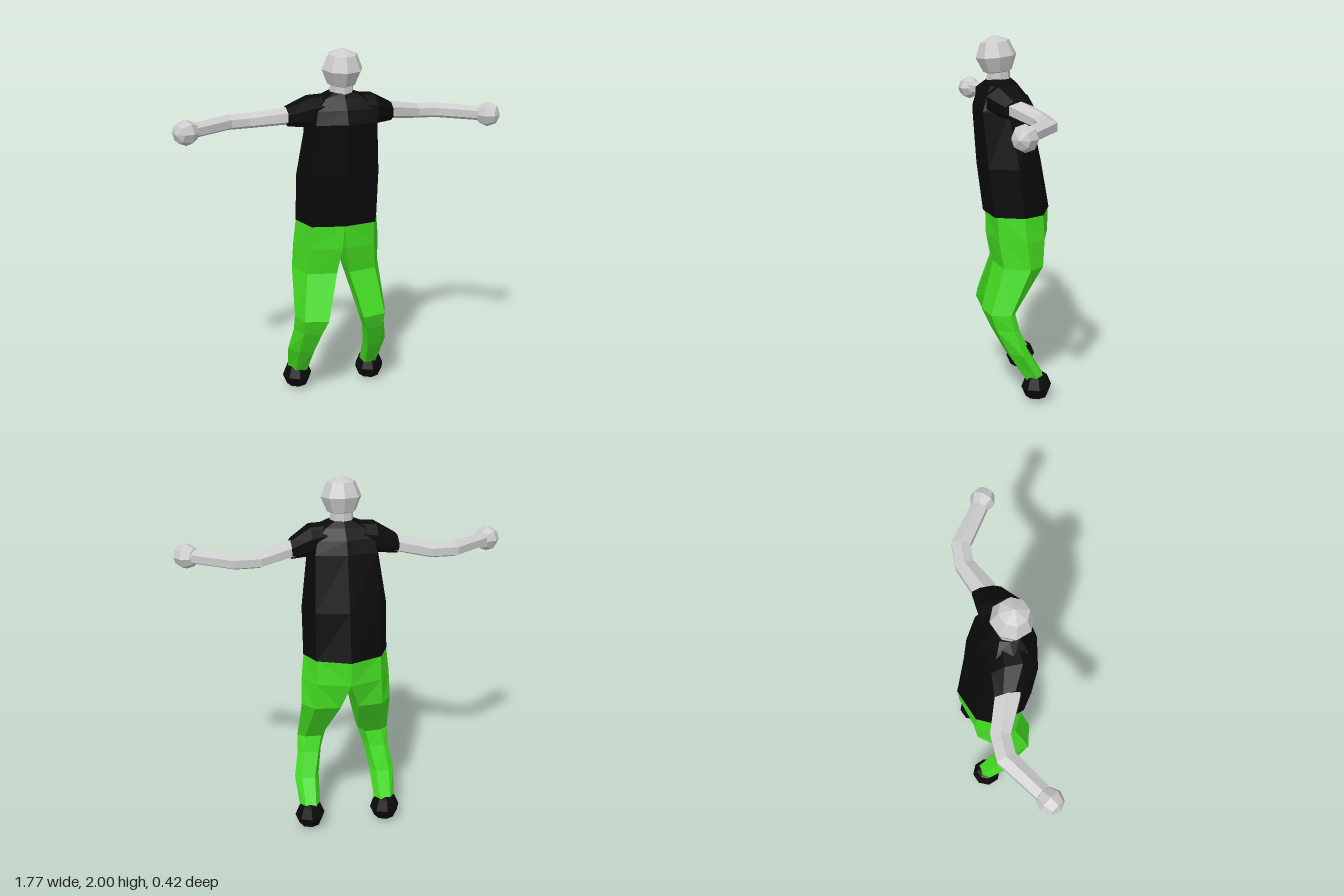
import * as THREE from 'three';

const paint = (color) => new THREE.MeshStandardMaterial({ color, flatShading: true });
const skin = paint(0xcccccc);
const black = paint(0x0a0a0a);
const green = paint(0x44dd22);

// Skins a list of equal-length rings of [x, y, z] into a closed faceted solid
function loft(rings) {
  const tris = [];
  const n = rings[0].length;
  for (let i = 0; i < rings.length - 1; i++) {
    for (let j = 0; j < n; j++) {
      const k = (j + 1) % n;
      const [a, b, c, d] = [rings[i][j], rings[i][k], rings[i + 1][k], rings[i + 1][j]];
      tris.push([a, b, c], [a, c, d]);
    }
  }
  const last = rings[rings.length - 1];
  for (let j = 1; j < n - 1; j++) {
    tris.push([rings[0][0], rings[0][j + 1], rings[0][j]], [last[0], last[j], last[j + 1]]);
  }
  // A negative enclosed volume means the faces point inward
  const vec = (p) => new THREE.Vector3(...p);
  const volume = tris.reduce((sum, [a, b, c]) => sum + vec(a).dot(vec(b).cross(vec(c))), 0);
  if (volume < 0) tris.forEach((t) => t.reverse());
  const geo = new THREE.BufferGeometry();
  geo.setAttribute('position', new THREE.Float32BufferAttribute(tris.flat(2), 3));
  geo.computeVertexNormals();
  return geo;
}

// Upright oval ring around a limb that runs sideways; yaw turns it toward the front
function limbRing(s, [x, y, z, ry, rw, yaw], sides, offset) {
  return Array.from({ length: sides }, (_, i) => {
    const a = ((i + offset) / sides) * Math.PI * 2;
    const w = Math.sin(a) * rw;
    return [s * (x - w * Math.sin(yaw)), y + Math.cos(a) * ry, z + w * Math.cos(yaw)];
  });
}

export function createModel() {
  const model = new THREE.Group();
  const add = (name, geo, material, x = 0, y = 0, z = 0) => {
    const mesh = new THREE.Mesh(geo, material);
    mesh.name = name;
    mesh.position.set(x, y, z);
    model.add(mesh);
    return mesh;
  };

  // Head and neck
  const head = add('head', new THREE.SphereGeometry(0.109, 8, 4), skin, 0, 1.891, 0.08);
  head.rotation.x = 0.1;
  add('neck', new THREE.CylinderGeometry(0.06, 0.065, 0.12, 8), skin, 0, 1.79, 0.068);

  // Shirt: y, half width, diagonal x, then z at front, front diagonal, side, back diagonal, back
  const shirt = [
    [1.055, 0.232, 0.178, 0.157, 0.122, -0.03, -0.142, -0.212],
    [1.32, 0.232, 0.178, 0.19, 0.155, 0, -0.12, -0.165],
    [1.62, 0.19, 0.165, 0.21, 0.18, 0.05, -0.07, -0.1],
    [1.69, 0.18, 0.15, 0.185, 0.16, 0.055, -0.045, -0.075],
    [1.745, 0.15, 0.1, 0.145, 0.13, 0.06, -0.01, -0.03],
    [1.772, 0.065, 0.05, 0.125, 0.11, 0.06, 0.01, 0],
  ];
  add('shirt', loft(shirt.map(([y, w, d, f, df, s, db, b]) => [
    [0, y, f], [d, y, df], [w, y, s], [d, y, db],
    [0, y, b], [-d, y, db], [-w, y, s], [-d, y, df],
  ])), black);

  // Sleeve and arm stations: x, y, z, height radius, width radius, yaw
  const sleeve = [
    [0.08, 1.685, 0.055, 0.075, 0.1, 0],
    [0.175, 1.672, 0.055, 0.083, 0.118, 0],
    [0.284, 1.643, 0.012, 0.052, 0.08, 0],
  ];
  const arm = [
    [0.22, 1.65, 0.025, 0.047, 0.068, -0.3],
    [0.285, 1.643, 0.004, 0.047, 0.07, -0.3],
    [0.46, 1.614, -0.067, 0.041, 0.057, -0.2],
    [0.58, 1.612, -0.063, 0.041, 0.057, 0.3],
    [0.79, 1.61, 0.08, 0.039, 0.048, 0.6],
  ];

  // Trouser leg: height, then [x, z] corners from front inner, round the outside, to inner
  const leg = [
    [1.065, [0, 0.145], [0.175, 0.11], [0.23, -0.03], [0.175, -0.14], [0, -0.208], [0, -0.03]],
    [0.92, [0.012, 0.14], [0.18, 0.1], [0.245, -0.04], [0.18, -0.15], [0, -0.205], [0, -0.04]],
    [0.77, [0.035, 0.11], [0.195, 0.075], [0.25, -0.06], [0.19, -0.14], [0.05, -0.155], [0.035, -0.03]],
    [0.52, [0.1, 0.185], [0.23, 0.155], [0.262, 0.05], [0.22, 0.02], [0.13, 0.015], [0.095, 0.08]],
    [0.43, [0.13, 0.145], [0.228, 0.125], [0.265, 0.03], [0.235, 0], [0.15, -0.003], [0.125, 0.06]],
    [0.29, [0.16, 0.07], [0.24, 0.055], [0.29, -0.015], [0.255, -0.05], [0.18, -0.057], [0.15, 0]],
    [0.13, [0.175, -0.035], [0.24, -0.04], [0.275, -0.1], [0.245, -0.145], [0.19, -0.15], [0.16, -0.1]],
  ];

  for (const [s, side] of [[1, 'left'], [-1, 'right']]) {
    add(side + 'Sleeve', loft(sleeve.map((r) => limbRing(s, r, 8, 0.5))), black);
    add(side + 'Arm', loft(arm.map((r) => limbRing(s, r, 6, 0))), skin);
    const hand = add(side + 'Hand', new THREE.SphereGeometry(0.068, 8, 4), skin, s * 0.82, 1.608, 0.097);
    hand.rotation.set(0, -s * 0.6, Math.PI / 2);
    add(side + 'TrouserLeg', loft(leg.map(([y, ...pts]) => pts.map(([x, z]) => [s * x, y, z]))), green);
    add(side + 'Foot', new THREE.SphereGeometry(0.085, 8, 4), black, s * 0.22, 0.085, -0.1);
  }
  return model;
}
